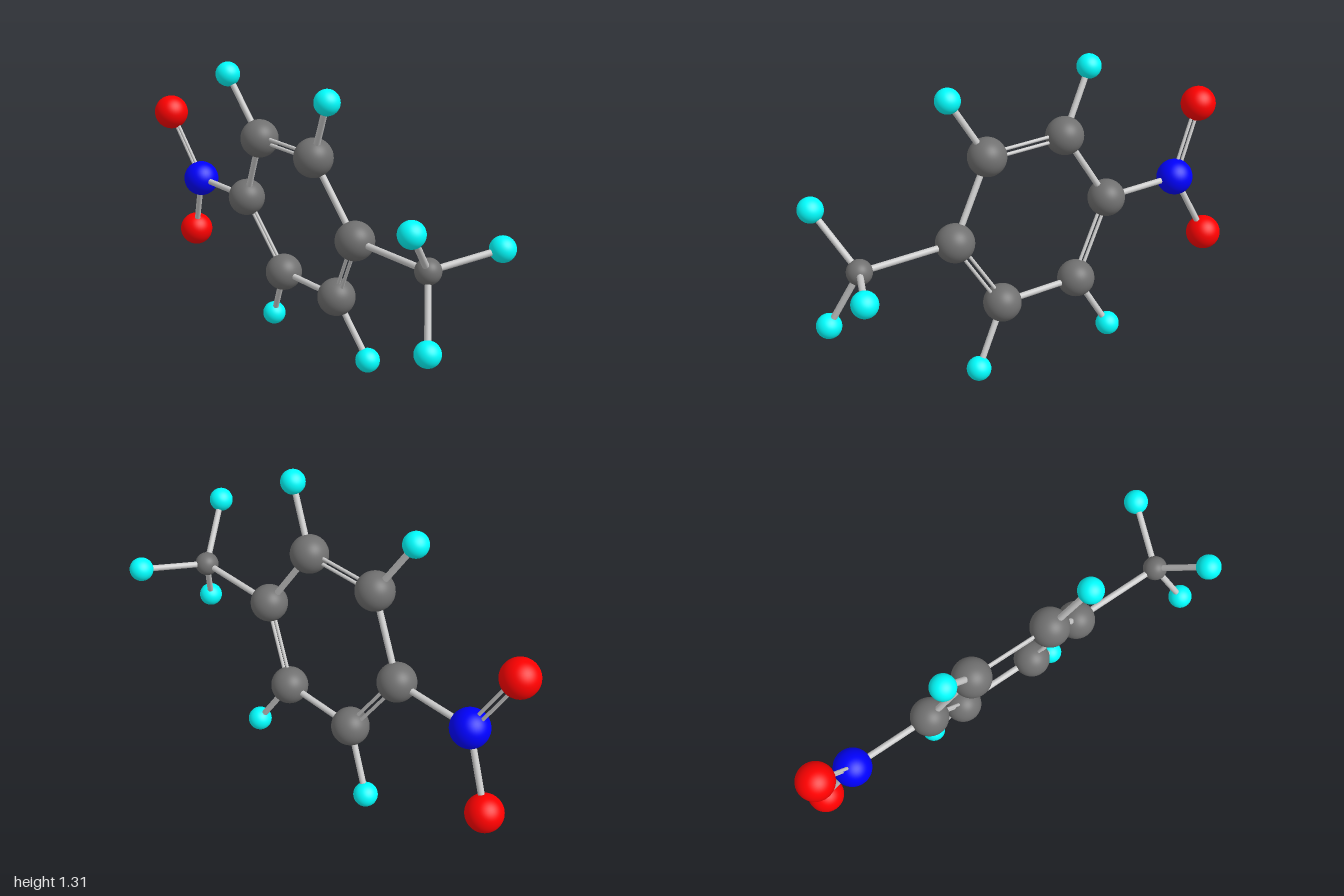
import * as THREE from 'three';

const mat = (color) => new THREE.MeshStandardMaterial({ color });
const kinds = {
  carbon: { radius: 0.084, material: mat(0x707070) },
  methylCarbon: { radius: 0.054, material: mat(0x707070) },
  hydrogen: { radius: 0.054, material: mat(0x00ffff) },
  nitrogen: { radius: 0.083, material: mat(0x0000ff) },
  oxygen: { radius: 0.08, material: mat(0xff0000) },
};
const bondMaterial = mat(0xcccccc);

// Atom centres
const atoms = {
  c1: ['carbon', -0.233, 0.985, -0.062],
  c2: ['carbon', 0.125, 0.985, 0.076],
  c3: ['carbon', 0.332, 0.663, 0.086],
  c4: ['carbon', 0.177, 0.333, -0.039],
  c5: ['carbon', -0.182, 0.328, -0.176],
  c6: ['carbon', -0.39, 0.654, -0.186],
  n: ['nitrogen', -0.752, 0.65, -0.324],
  o1: ['oxygen', -0.922, 0.96, -0.324],
  o2: ['oxygen', -0.874, 0.334, -0.434],
  m: ['methylCarbon', 0.738, 0.667, 0.241],
  mh1: ['hydrogen', 0.768, 0.89, 0.461],
  mh2: ['hydrogen', 0.943, 0.723, 0.005],
  mh3: ['hydrogen', 0.81, 0.388, 0.372],
  h1: ['hydrogen', -0.398, 1.252, -0.065],
  h2: ['hydrogen', 0.246, 1.253, 0.177],
  h4: ['hydrogen', 0.34, 0.07, -0.035],
  h5: ['hydrogen', -0.302, 0.056, -0.278],
};

const singles = [
  ['c2', 'c3'], ['c4', 'c5'], ['c6', 'c1'], ['c6', 'n'], ['n', 'o2'], ['c3', 'm'],
  ['m', 'mh1'], ['m', 'mh2'], ['m', 'mh3'],
  ['c1', 'h1'], ['c2', 'h2'], ['c4', 'h4'], ['c5', 'h5'],
];
const doubles = [['c1', 'c2'], ['c3', 'c4'], ['c5', 'c6'], ['n', 'o1']];

const centre = (id) => new THREE.Vector3(...atoms[id].slice(1));

// Cylinder spanning two points
function rod(a, b, radius, name) {
  const dir = b.clone().sub(a);
  const mesh = new THREE.Mesh(new THREE.CylinderGeometry(radius, radius, dir.length(), 16), bondMaterial);
  mesh.position.copy(a).lerp(b, 0.5);
  mesh.quaternion.setFromUnitVectors(new THREE.Vector3(0, 1, 0), dir.normalize());
  mesh.name = name;
  return mesh;
}

export function createModel() {
  const model = new THREE.Group();
  model.name = 'molecule';

  // Atoms
  for (const [id, [kind]] of Object.entries(atoms)) {
    const { radius, material } = kinds[kind];
    const ball = new THREE.Mesh(new THREE.SphereGeometry(radius, 40, 28), material);
    ball.position.copy(centre(id));
    ball.name = kind + 'Atom';
    model.add(ball);
  }

  // Single bonds
  for (const [a, b] of singles) model.add(rod(centre(a), centre(b), 0.0138, 'singleBond'));

  // Double bonds: two thin rods side by side in the plane of the ring
  const normal = centre('c3').sub(centre('c6')).cross(centre('c1').sub(centre('c4')));
  for (const [a, b] of doubles) {
    const pair = new THREE.Group();
    pair.name = 'doubleBond';
    const side = centre(b).sub(centre(a)).cross(normal).setLength(0.0125);
    for (const s of [-1, 1]) {
      pair.add(rod(centre(a).addScaledVector(side, s), centre(b).addScaledVector(side, s), 0.0075, 'doubleBondRod'));
    }
    model.add(pair);
  }
  return model;
}
